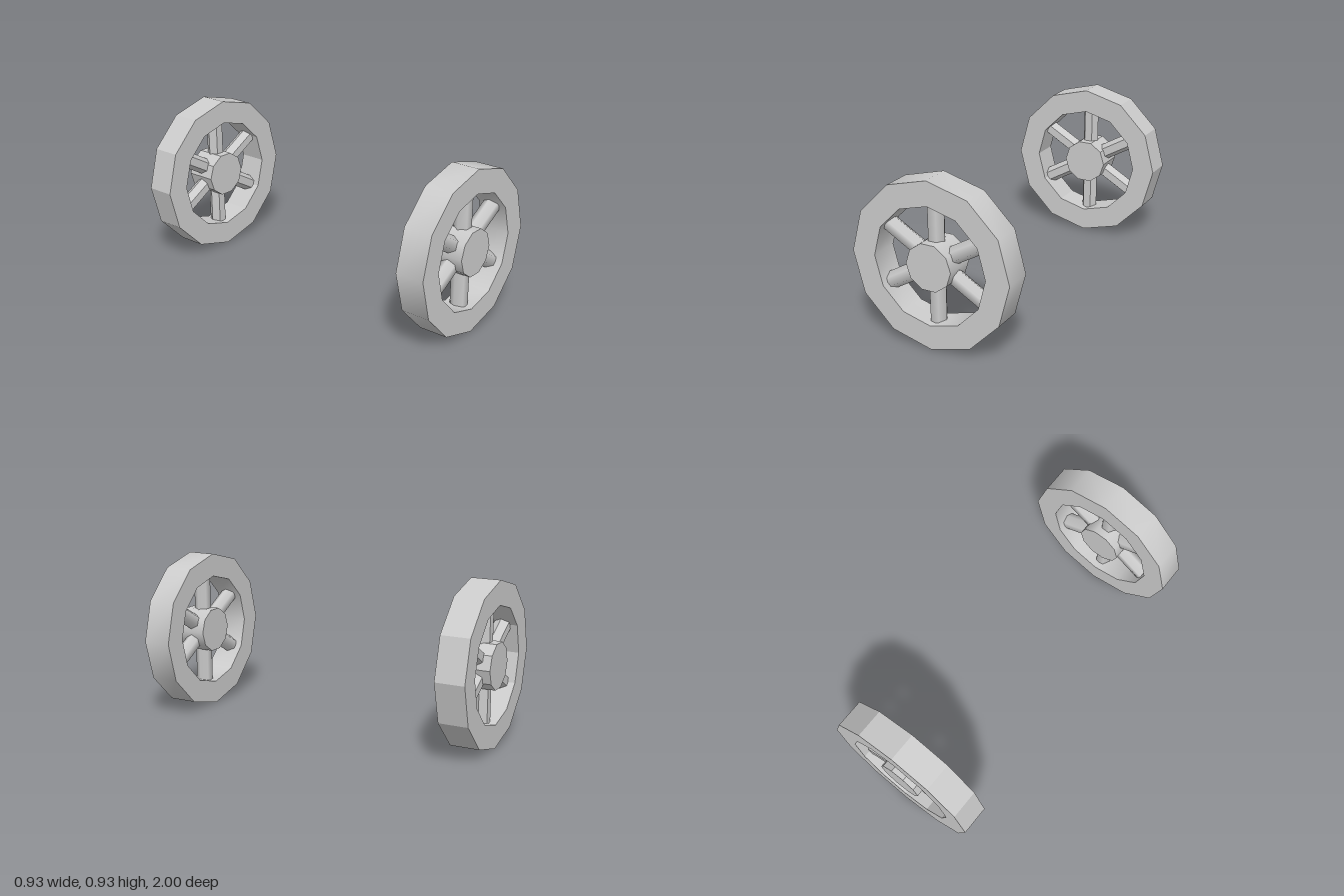
import * as THREE from 'three';
import { toCreasedNormals } from 'three/addons/utils/BufferGeometryUtils.js';

const RADIUS = 0.463, INNER = 0.328;   // rim, measured at its corners
const RIM_HALF = 0.083, HUB_HALF = 0.0885;
const HUB_RADIUS = 0.132, SPOKE_RADIUS = 0.048;

function named(name, geometry, material) {
  const mesh = new THREE.Mesh(geometry, material);
  mesh.name = name;
  return mesh;
}

// Wheel facing z, centred on its own origin
function createWheel(name, flatShading) {
  const wheel = new THREE.Group();
  wheel.name = name;
  const material = new THREE.MeshStandardMaterial({ color: 0xcccccc, flatShading });

  // Twelve-sided rim: rectangular section turned about the axle
  const section = [
    [RADIUS, -RIM_HALF], [RADIUS, RIM_HALF], [INNER, RIM_HALF], [INNER, -RIM_HALF], [RADIUS, -RIM_HALF],
  ].map(([r, y]) => new THREE.Vector2(r, y));
  const rim = toCreasedNormals(new THREE.LatheGeometry(section, 12), 0.7);
  wheel.add(named('rim', rim.rotateX(Math.PI / 2), material));

  // Ten-sided hub, a little wider than the rim
  const hub = new THREE.CylinderGeometry(HUB_RADIUS, HUB_RADIUS, HUB_HALF * 2, 10, 1, false, Math.PI / 2);
  wheel.add(named('hub', hub.rotateX(Math.PI / 2), material));

  // Six hexagonal spokes, from inside the hub to inside the rim
  const start = 0.06, end = 0.38;
  const spoke = new THREE.CylinderGeometry(SPOKE_RADIUS, SPOKE_RADIUS, end - start, 6, 1, false, Math.PI / 6);
  spoke.translate(0, (start + end) / 2, 0);
  for (let i = 0; i < 6; i++) {
    const mesh = named('spoke' + (i + 1), spoke, material);
    mesh.rotation.z = i * Math.PI / 3;
    wheel.add(mesh);
  }
  return wheel;
}

export function createModel() {
  const model = new THREE.Group();
  model.name = 'wheelPair';
  // Smooth wheel in front, faceted wheel behind
  const front = createWheel('frontWheel', false);
  const back = createWheel('backWheel', true);
  front.position.set(0, RADIUS, 1 - HUB_HALF);
  back.position.set(0, RADIUS, HUB_HALF - 1);
  model.add(front, back);
  return model;
}
